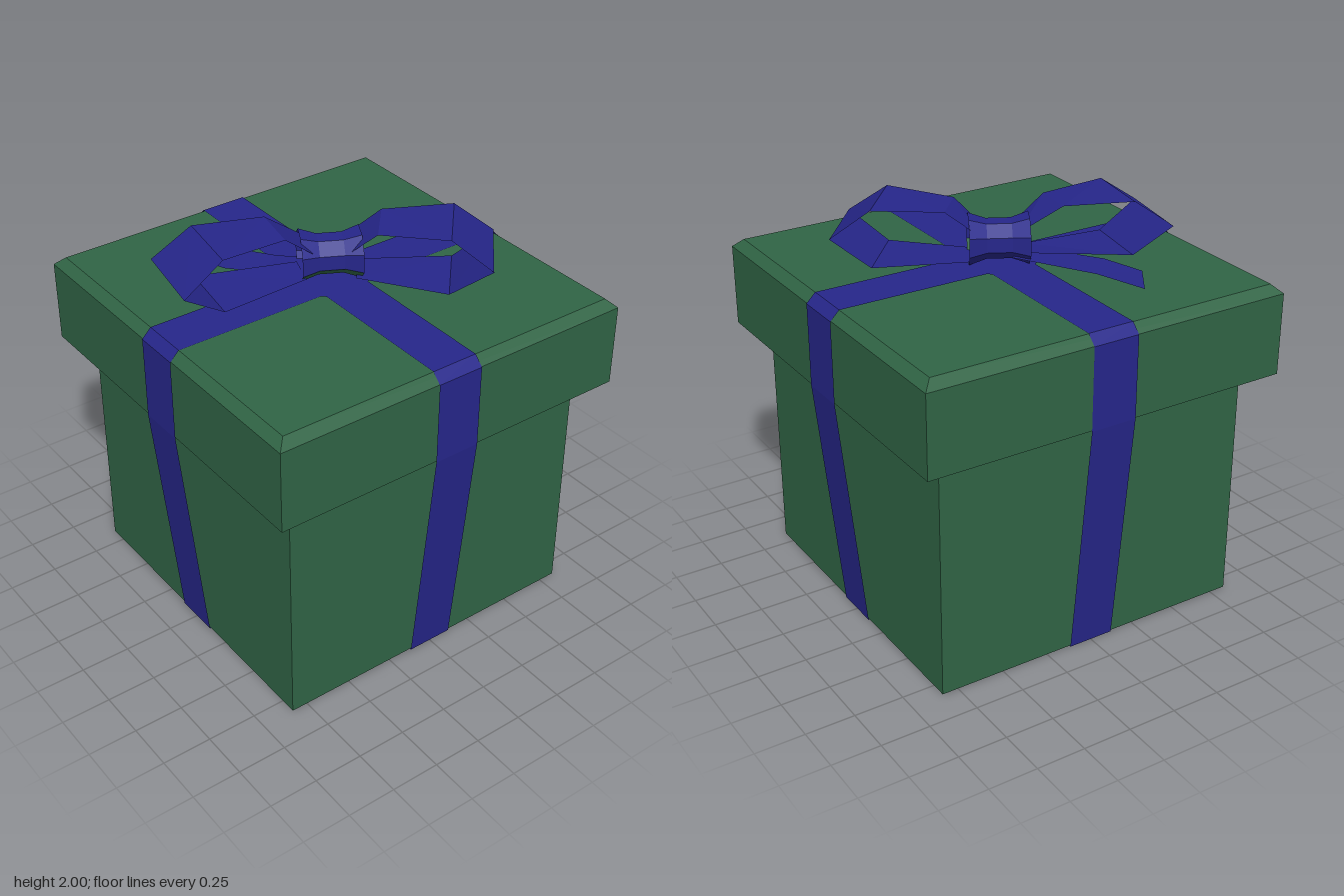
import * as THREE from 'three';

const green = new THREE.MeshStandardMaterial({ name: 'green paper', color: 0x306445, flatShading: true, side: THREE.DoubleSide });
const blue = new THREE.MeshStandardMaterial({ name: 'blue ribbon', color: 0x26268a, flatShading: true, side: THREE.DoubleSide });

function mesh(name, geometry, material) {
  const flat = geometry.index ? geometry.toNonIndexed() : geometry;
  flat.computeVertexNormals();
  const m = new THREE.Mesh(flat, material);
  m.name = name;
  return m;
}

// Square solid from a profile of [half width, height]
function squareSolid(profile) {
  const pts = profile.map(([h, y]) => new THREE.Vector2(h * Math.SQRT2, y));
  return new THREE.LatheGeometry(pts, 4, Math.PI / 4);
}

// Band of quads through rows of [edge point, opposite edge point]
function strip(rows) {
  const position = [];
  for (let i = 0; i + 1 < rows.length; i++) {
    const [a, b] = rows[i];
    const [d, c] = rows[i + 1];
    position.push(...a, ...b, ...c, ...a, ...c, ...d);
  }
  const g = new THREE.BufferGeometry();
  g.setAttribute('position', new THREE.Float32BufferAttribute(position, 3));
  return g;
}

// Ribbon pulled tight around lid and box, in the x-y plane
function wrapRibbon(lift) {
  const half = [[0.84, lift], [0.966, 1.238], [0.966, 1.656], [0.919, 1.702 + lift]];
  const loop = [...half, ...half.map(([x, y]) => [-x, y]).reverse(), half[0]];
  return strip(loop.map(([x, y]) => [[x, y, 0.12], [x, y, -0.12]]));
}

// Waisted knot sleeve, some of its eight facets
function knotFacets(start, count) {
  const profile = [[0.14, -0.145], [0.108, -0.06], [0.108, 0.06], [0.14, 0.145]];
  const g = new THREE.LatheGeometry(profile.map(p => new THREE.Vector2(...p)), count, start, count * Math.PI / 4);
  g.rotateZ(-Math.PI / 2);
  g.scale(1, 0.88, 1);
  g.rotateY(-0.49);
  g.translate(0.01, 1.822, -0.015);
  return g;
}

export function createModel() {
  const model = new THREE.Group();
  model.name = 'giftBox';

  // Box and overhanging chamfered lid
  model.add(mesh('box', squareSolid([[0, 0.004], [0.835, 0.004], [0.835, 1.25]]), green));
  model.add(mesh('lid', squareSolid([[0, 1.24], [0.961, 1.24], [0.961, 1.655], [0.915, 1.698], [0, 1.698]]), green));

  // Crossing ribbons with small filled corners at the crossing
  const ribbonX = mesh('sideRibbon', wrapRibbon(0.001), blue);
  const ribbonZ = mesh('frontRibbon', wrapRibbon(0), blue);
  ribbonZ.rotation.y = Math.PI / 2;
  const crossing = mesh('ribbonCrossing', new THREE.CircleGeometry(0.262, 4).rotateX(-Math.PI / 2), blue);
  crossing.position.y = 1.7035;
  model.add(ribbonX, ribbonZ, crossing);

  // Bow loops: out along the top, round the tip, back underneath
  const bow = new THREE.Group();
  bow.name = 'bow';
  bow.add(mesh('rightLoop', strip([
    [[-0.03, 1.87, -0.12], [-0.12, 1.88, 0.03]],
    [[-0.22, 2.0, -0.22], [-0.26, 1.99, 0.01]],
    [[-0.54, 2.0, -0.35], [-0.6, 2.0, 0.01]],
    [[-0.73, 1.858, -0.41], [-0.805, 1.858, 0]],
    [[-0.54, 1.73, -0.35], [-0.6, 1.73, 0.01]],
    [[-0.1, 1.76, -0.13], [-0.15, 1.75, 0.02]],
  ]), blue));
  bow.add(mesh('leftLoop', strip([
    [[0.13, 1.86, -0.06], [0.04, 1.87, 0.11]],
    [[0.28, 1.99, 0.03], [0.12, 1.98, 0.21]],
    [[0.58, 2.0, 0.205], [0.335, 2.0, 0.48]],
    [[0.74, 1.857, 0.315], [0.47, 1.857, 0.63]],
    [[0.58, 1.716, 0.205], [0.335, 1.716, 0.48]],
    [[0.17, 1.735, -0.02], [0.06, 1.735, 0.13]],
  ]), blue));

  // Loose ribbon end lying on the lid
  bow.add(mesh('tail', strip([
    [[0, 1.755, -0.12], [-0.12, 1.755, -0.02]],
    [[-0.12, 1.74, -0.26], [-0.28, 1.74, -0.18]],
    [[-0.25, 1.735, -0.46], [-0.39, 1.735, -0.32]],
    [[-0.34, 1.73, -0.71], [-0.46, 1.73, -0.53]],
  ]), blue));

  // Knot with a green underside
  bow.add(mesh('knot', knotFacets(Math.PI * 5 / 8, 6), blue));
  bow.add(mesh('knotUnderside', knotFacets(Math.PI / 8, 2), green));
  model.add(bow);
  return model;
}
